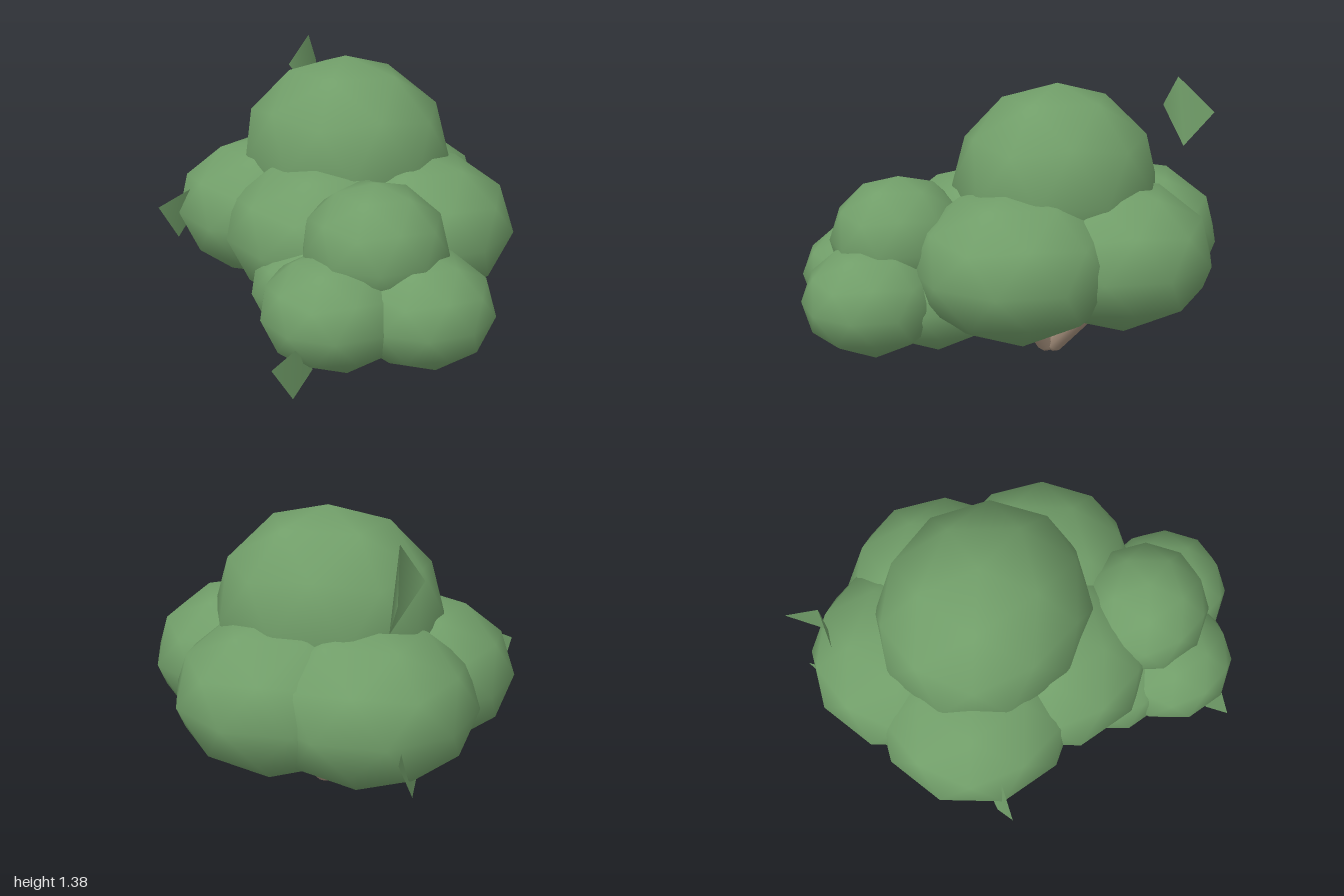
import * as THREE from 'three';

const foliageGreen = new THREE.MeshStandardMaterial({ name: 'foliageGreen', color: 0x719e69 });
const leafGreen = new THREE.MeshStandardMaterial({ name: 'leafGreen', color: 0x719e69, side: THREE.DoubleSide });
const barkBrown = new THREE.MeshStandardMaterial({ name: 'barkBrown', color: 0xa08b78 });

// Smooth-shaded icosphere with one vertex pointing straight up
const puffGeometry = new THREE.IcosahedronGeometry(1, 1);
puffGeometry.rotateZ(-Math.atan(2 / (1 + Math.sqrt(5))));

function puff(name, position, radii) {
  const mesh = new THREE.Mesh(puffGeometry, foliageGreen);
  mesh.name = name;
  mesh.position.set(...position);
  mesh.scale.set(...radii);
  return mesh;
}

// A branch leaning from base to tip, with rounded ends
function branch(base, tip) {
  const a = new THREE.Vector3(...base), b = new THREE.Vector3(...tip);
  const dir = b.clone().sub(a);
  const mesh = new THREE.Mesh(new THREE.CapsuleGeometry(0.049, dir.length(), 3, 10), barkBrown);
  mesh.name = 'branch';
  mesh.position.copy(a).add(b).multiplyScalar(0.5);
  mesh.quaternion.setFromUnitVectors(new THREE.Vector3(0, 1, 0), dir.normalize());
  return mesh;
}

// Diamond leaf bent softly along the line from its top to its bottom corner
function leaf(corners) {
  const geometry = new THREE.BufferGeometry();
  geometry.setAttribute('position', new THREE.Float32BufferAttribute(corners.flat(), 3));
  geometry.setIndex([0, 1, 2, 0, 2, 3]);
  geometry.computeVertexNormals();
  const mesh = new THREE.Mesh(geometry, leafGreen);
  mesh.name = 'leaf';
  return mesh;
}

export function createModel() {
  const bush = new THREE.Group();
  bush.name = 'bush';

  // Large crown: dome over a ring of five flattened puffs
  const crown = new THREE.Group();
  crown.name = 'largeCrown';
  crown.add(puff('crownDome', [-0.15, 0.89, -0.19], [0.545, 0.49, 0.5]));
  const largeRing = [[-0.48, 0.005], [-0.475, -0.425], [-0.1, -0.515], [0.27, -0.18], [-0.045, 0.135]];
  for (const [x, z] of largeRing) crown.add(puff('crownPuff', [x, 0.603, z], [0.488, 0.357, 0.485]));
  bush.add(crown);

  // Small crown at the front left, same layout
  const small = new THREE.Group();
  small.name = 'smallCrown';
  small.add(puff('smallDome', [0.395, 0.685, 0.365], [0.335, 0.295, 0.325]));
  const smallRing = [
    [0.335, 0.457, 0.594], [0.63, 0.457, 0.36], [0.11, 0.437, 0.385], [0.39, 0.437, 0.18], [0.2, 0.437, 0.22],
  ];
  for (const position of smallRing) small.add(puff('smallPuff', position, [0.328, 0.258, 0.326]));
  bush.add(small);

  // Branches fanning out from the base
  const trunk = new THREE.Group();
  trunk.name = 'trunk';
  for (const [dx, dz] of [[0.26, 0.05], [0.1, -0.3], [-0.27, -0.09], [-0.08, 0.25]]) {
    trunk.add(branch([-0.155 + dx * 0.12, 0.049, -0.165 + dz * 0.12], [-0.155 + dx, 0.35, -0.165 + dz]));
  }
  bush.add(trunk);

  // Loose leaves around the crown
  const leaves = new THREE.Group();
  leaves.name = 'looseLeaves';
  const leafCorners = [
    [[-0.695, 1.37, -0.61], [-0.775, 1.19, -0.785], [-0.685, 1.02, -0.66], [-0.765, 1.21, -0.515]],
    [[-0.72, 0.73, 0.35], [-0.815, 0.65, 0.49], [-0.8, 0.46, 0.38], [-0.75, 0.62, 0.27]],
    [[0.37, 0.41, 0.91], [0.315, 0.34, 1.0], [0.335, 0.16, 0.89], [0.38, 0.28, 0.81]],
    [[-0.76, 0.64, -0.62], [-0.81, 0.55, -0.81], [-0.8, 0.32, -0.64], [-0.78, 0.43, -0.53]],
  ];
  for (const corners of leafCorners) leaves.add(leaf(corners));
  bush.add(leaves);

  return bush;
}
